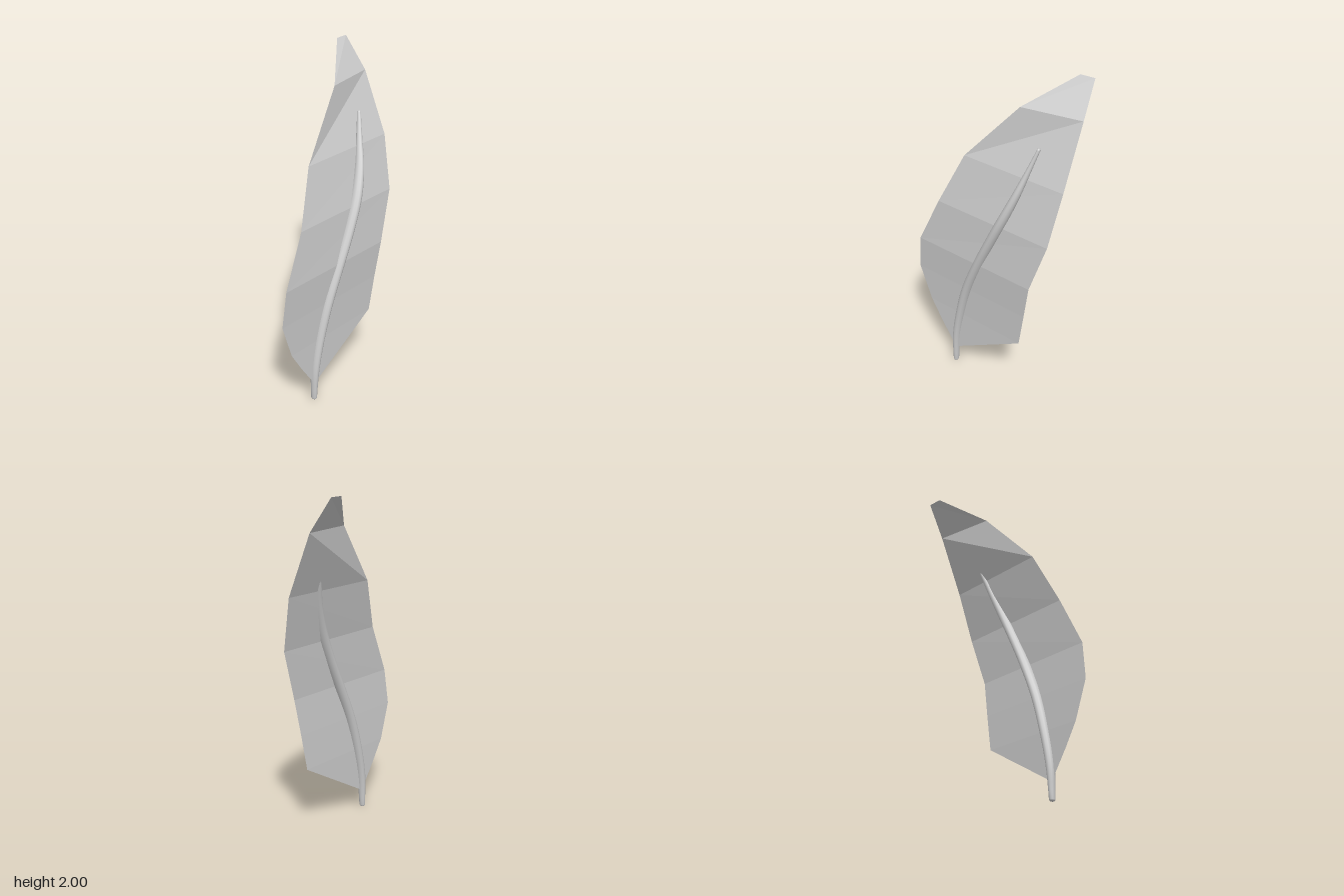
import * as THREE from 'three';
import { mergeVertices } from 'three/addons/utils/BufferGeometryUtils.js';

const grey = (extra = {}) => new THREE.MeshStandardMaterial({ color: 0xcccccc, ...extra });

// Thin folded blade: each row is a left and a right edge point at one height
function createBlade() {
  // y, left x, left z, right x, right z
  const rows = [
    [0.4, -0.41, 0.157, 0.275, 0.157],
    [0.62, -0.487, 0.164, 0.313, 0.164],
    [0.84, -0.463, 0.175, 0.352, 0.175],
    [1.145, -0.32, 0.155, 0.45, 0.15],
    [1.46, -0.18, 0.082, 0.485, 0.072],
    [1.815, 0.132, -0.01, 0.483, -0.083],
    [2.0, 0.37, -0.2, 0.456, -0.208],
  ];
  const pos = [-0.22, 0.11, 0.157, -0.33, 0.27, 0.157]; // base point and lower left edge
  for (const [y, lx, lz, rx, rz] of rows) pos.push(lx, y, lz, rx, y, rz);
  const index = [0, 3, 1, 1, 3, 2];
  for (let i = 0; i < rows.length - 1; i++) {
    const a = 2 + i * 2;
    index.push(a, a + 1, a + 3, a, a + 3, a + 2);
  }
  const geo = new THREE.BufferGeometry();
  geo.setAttribute('position', new THREE.Float32BufferAttribute(pos, 3));
  geo.setIndex(index);
  geo.computeVertexNormals();
  const mesh = new THREE.Mesh(geo, grey({ flatShading: true, side: THREE.DoubleSide }));
  mesh.name = 'blade';
  return mesh;
}

// Curved midrib: a tapering lathe whose rings are shifted along a spline
function createStem() {
  // x, y, z, radius
  const stations = [
    [-0.222, 0.012, 0.155, 0.016],
    [-0.213, 0.2, 0.155, 0.023],
    [-0.175, 0.4, 0.156, 0.027],
    [-0.112, 0.62, 0.161, 0.03],
    [-0.02, 0.84, 0.165, 0.031],
    [0.068, 1.03, 0.162, 0.031],
    [0.145, 1.2, 0.148, 0.03],
    [0.208, 1.36, 0.115, 0.024],
    [0.252, 1.5, 0.073, 0.016],
    [0.293, 1.635, 0.034, 0.01],
  ];
  const spline = new THREE.CatmullRomCurve3(stations.map(([x, y, z]) => new THREE.Vector3(x, y, z)));
  const taper = new THREE.SplineCurve(stations.map((s, i) => new THREE.Vector2(i, s[3])));
  const n = 36;
  const centres = spline.getPoints(n);
  const profile = centres.map((p, i) => new THREE.Vector2(taper.getPoint(i / n).y, p.y));
  // Rounded ends
  const addEnd = (at, drop) => {
    const c = centres[at], r = profile[at].x;
    return [[0.75, 0.65], [0, 1]].map(([k, d]) => ({
      c: c.clone(), p: new THREE.Vector2(r * k, c.y + drop * d),
    }));
  };
  const low = addEnd(0, -0.012).reverse(), high = addEnd(n, 0.01);
  const rings = [...low.map(e => e.c), ...centres, ...high.map(e => e.c)];
  const points = [...low.map(e => e.p), ...profile, ...high.map(e => e.p)];

  let geo = new THREE.LatheGeometry(points, 12);
  const pos = geo.attributes.position;
  for (let i = 0; i < pos.count; i++) {
    const c = rings[i % rings.length];
    pos.setX(i, pos.getX(i) + c.x);
    pos.setZ(i, pos.getZ(i) * 1.2 + c.z);
  }
  geo.deleteAttribute('uv');
  geo.deleteAttribute('normal');
  geo = mergeVertices(geo, 1e-5);
  geo.computeVertexNormals();
  const mesh = new THREE.Mesh(geo, grey());
  mesh.name = 'stem';
  return mesh;
}

export function createModel() {
  const leaf = new THREE.Group();
  leaf.name = 'leaf';
  leaf.add(createBlade(), createStem());
  return leaf;
}
